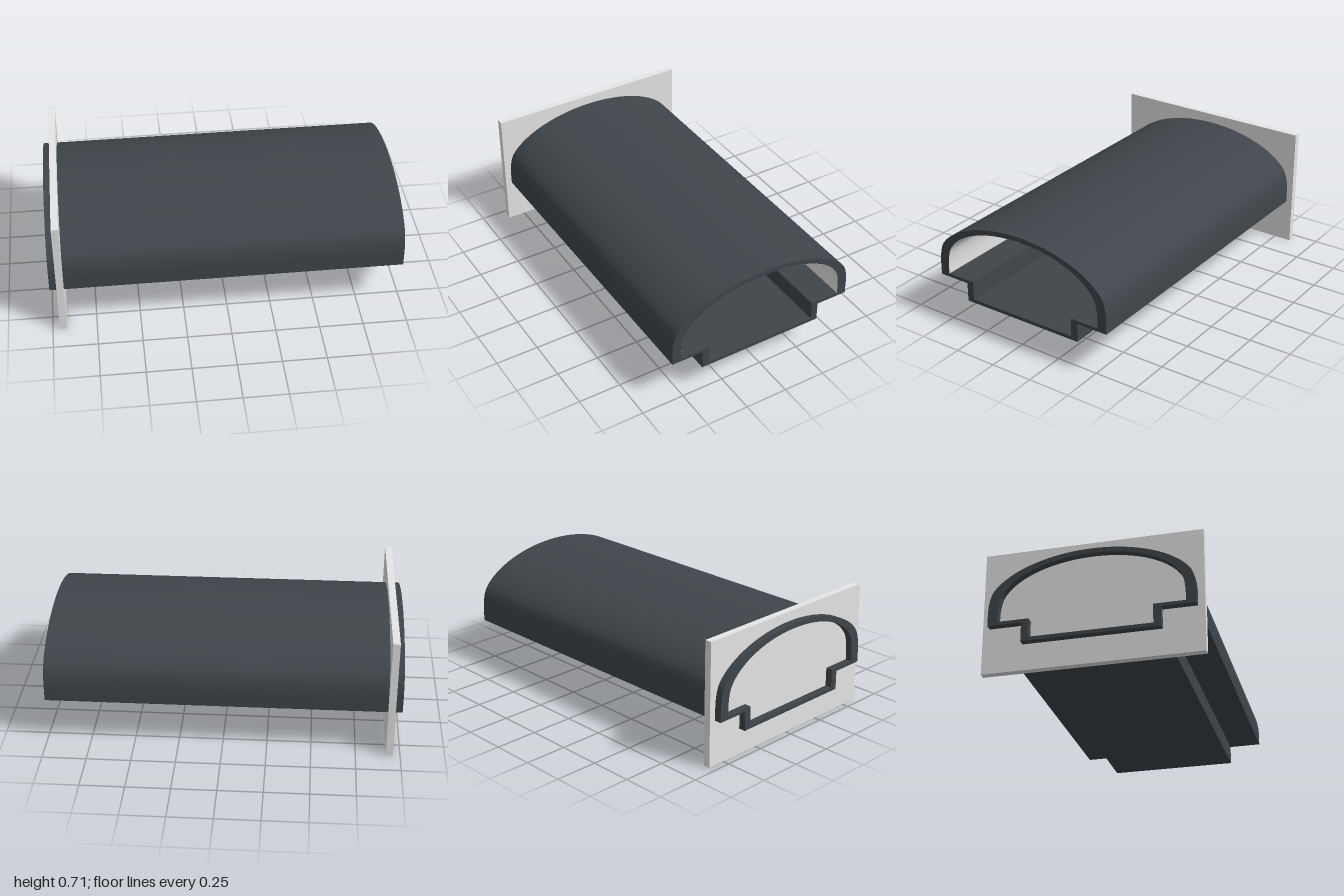
import * as THREE from 'three';
import { toCreasedNormals } from 'three/addons/utils/BufferGeometryUtils.js';

// Right half of an arch, from the crown down to the foot, as two joined curves
function halfArch(crown, c1, c2, shoulder, c3, c4, spring, footY) {
  const v = (p) => new THREE.Vector2(p[0], p[1]);
  const upper = new THREE.CubicBezierCurve(v(crown), v(c1), v(c2), v(shoulder)).getPoints(20);
  const lower = new THREE.CubicBezierCurve(v(shoulder), v(c3), v(c4), v(spring)).getPoints(10);
  return [...upper, ...lower.slice(1), new THREE.Vector2(spring[0], footY)];
}

// Mirror a half profile (crown first) into one running from left foot to right foot
function mirrored(half) {
  const left = half.slice(1).reverse().map((p) => new THREE.Vector2(-p.x, p.y));
  return [...left, ...half];
}

// Extrude a profile along x, smooth on the curves and sharp at the corners
function extrudeAlongX(shape, xStart, xEnd) {
  const geometry = new THREE.ExtrudeGeometry(shape, { depth: xEnd - xStart, bevelEnabled: false });
  geometry.rotateY(Math.PI / 2);
  geometry.translate(xStart, 0, 0);
  return toCreasedNormals(geometry, 0.5);
}

export function createModel() {
  const model = new THREE.Group();
  const darkGrey = new THREE.MeshStandardMaterial({ color: 0x3f454a });
  const lightGrey = new THREE.MeshStandardMaterial({ color: 0xe5e5e5 });

  const add = (name, geometry, material) => {
    const mesh = new THREE.Mesh(geometry, material);
    mesh.name = name;
    model.add(mesh);
    return mesh;
  };

  const outerArch = halfArch([0, 0.659], [0.25, 0.659], [0.46, 0.575], [0.537, 0.468],
    [0.557, 0.44], [0.567, 0.385], [0.567, 0.33], 0.262);
  const innerArch = halfArch([0, 0.631], [0.24, 0.631], [0.43, 0.55], [0.49, 0.44],
    [0.504, 0.412], [0.511, 0.36], [0.511, 0.31], 0.281);

  // Arch profile closed below by ledges and a sunken channel
  const withChannel = (half, channelX, ledgeY, floorY) => mirrored([
    ...half,
    new THREE.Vector2(channelX, ledgeY),
    new THREE.Vector2(channelX, floorY),
  ]);

  // Hollow tunnel shell; the hole runs opposite to the outline so its walls face inward
  const shell = new THREE.Shape(withChannel(outerArch, 0.379, 0.262, 0.151));
  shell.holes.push(new THREE.Path(withChannel(innerArch, 0.338, 0.281, 0.172).reverse()));
  add('tunnelShell', extrudeAlongX(shell, -1, 1), darkGrey);

  // Thin pale lining on the inside of the arch, from the end wall to the open mouth
  const lip = innerArch.map((p) => new THREE.Vector2(p.x * 0.998, 0.281 + (p.y - 0.281) * 0.997));
  const lining = new THREE.Shape([...mirrored(innerArch), ...mirrored(lip).reverse()]);
  add('archLining', extrudeAlongX(lining, -0.94, 0.999), lightGrey);

  // Upright end wall crossing the tunnel near one end
  const wall = add('endWall', new THREE.BoxGeometry(0.04, 0.715, 1.21), lightGrey);
  wall.position.set(-0.94, 0.3575, 0);

  return model;
}
